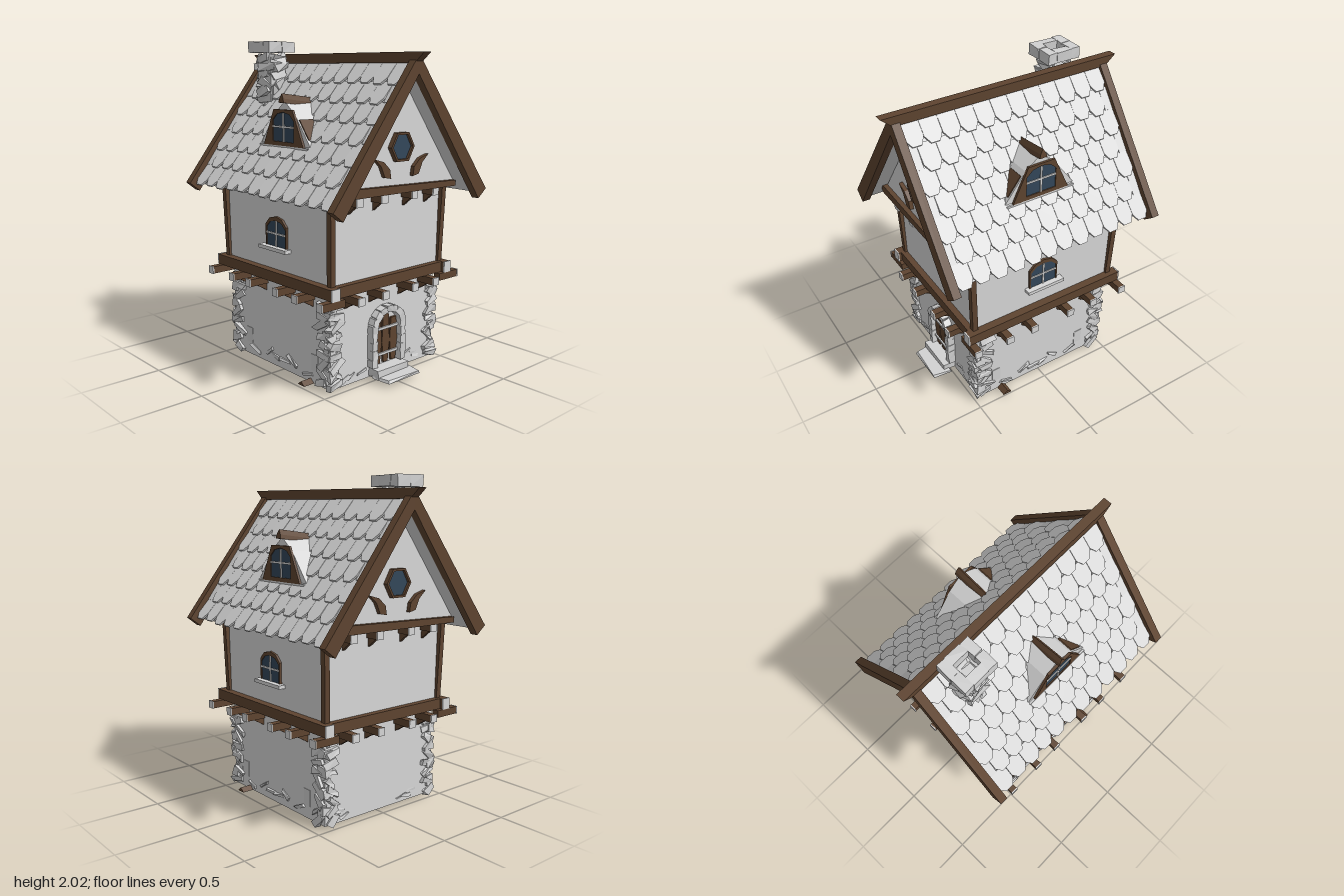
import * as THREE from 'three';

const mat = (name, color) => {
  const m = new THREE.MeshStandardMaterial({ color, side: THREE.DoubleSide });
  m.name = name;
  return m;
};
const plaster = mat('pale plaster', 0xd8d8d8);
const stone = mat('stone grey', 0xd2d2d2);
const wood = mat('dark wood', 0x5e4430);
const glass = mat('window glass', 0x33475a);

let seed = 7;
const rnd = (a = 0, b = 1) => {
  seed = (seed * 16807) % 2147483647;
  return a + (b - a) * (seed / 2147483647);
};

const add = (parent, name, geo, m, x = 0, y = 0, z = 0) => {
  const mesh = new THREE.Mesh(geo, m);
  mesh.name = name;
  mesh.position.set(x, y, z);
  parent.add(mesh);
  return mesh;
};
const box = (parent, name, m, w, h, d, x, y, z) =>
  add(parent, name, new THREE.BoxGeometry(w, h, d), m, x, y, z);
const toShape = pts => new THREE.Shape(pts.map(p => new THREE.Vector2(p[0], p[1])));
const plate = (parent, name, m, pts, depth, z, hole) => {
  const s = toShape(pts);
  if (hole) s.holes.push(toShape(hole));
  return add(parent, name, new THREE.ExtrudeGeometry(s, { depth, bevelEnabled: false }), m, 0, 0, z);
};
const group = (parent, name) => {
  const g = new THREE.Group();
  g.name = name;
  parent.add(g);
  return g;
};

// rough block: every box corner is pushed by its own random offset
function rock(parent, name, w, h, d, x, y, z, rz = 0, j = 0.3) {
  const geo = new THREE.BoxGeometry(w, h, d).toNonIndexed();
  const p = geo.attributes.position, off = {};
  for (let i = 0; i < p.count; i++) {
    const k = [p.getX(i) > 0, p.getY(i) > 0, p.getZ(i) > 0].join();
    off[k] ??= [rnd(-j, j) * w * 0.5, rnd(-j, j) * h, rnd(-j, j) * d];
    p.setXYZ(i, p.getX(i) + off[k][0], p.getY(i) + off[k][1], p.getZ(i) + off[k][2]);
  }
  geo.computeVertexNormals();
  const mesh = add(parent, name, geo, stone, x, y, z);
  mesh.rotation.z = rz;
  return mesh;
}

const arch = (x, y, w, h) => [[-w, 0], [w, 0], [w, h * 0.72], [w * 0.6, h * 0.93], [0, h],
  [-w * 0.6, h * 0.93], [-w, h * 0.72]].map(p => [p[0] + x, p[1] + y]);

// pane with glazing bars, facing local +z
function pane(parent, x, y, w, h, z) {
  plate(parent, 'windowGlass', glass, arch(x, y, w, h), 0.008, z);
  box(parent, 'glazingBar', plaster, 0.012, h * 0.97, 0.008, x, y + h * 0.48, z + 0.01);
  box(parent, 'glazingBar', plaster, w * 2, 0.012, 0.008, x, y + h * 0.5, z + 0.01);
}

// joist end with a pale end cap and a wedge brace under it, pointing along local +z
function joist(parent, x, y, z0, z1, brace) {
  box(parent, 'joist', wood, 0.045, 0.045, z1 - z0, x, y, (z0 + z1) / 2);
  box(parent, 'joistEnd', plaster, 0.05, 0.048, 0.008, x, y, z1);
  if (!brace) return;
  const b = plate(parent, 'joistBrace', wood, [[0, -0.02], [brace, -0.02], [0, -0.09]], 0.02, 0);
  b.rotation.y = -Math.PI / 2;
  b.position.set(x + 0.01, y, z0);
}

const RIDGE = 1.86, PITCH = Math.atan2(0.57, 0.76);

// one long side: local +z points out from the house
function buildSide(parent) {
  const side = group(parent, 'side');
  side.rotation.y = Math.PI / 2;

  // roof slope with overlapping shingles
  const slope = group(side, 'roofSlope');
  slope.position.y = RIDGE;
  slope.rotation.x = -PITCH;
  box(slope, 'roofBoard', plaster, 1.37, 0.94, 0.03, 0, -0.47, -0.02);
  const W = 0.112, L = 0.16;
  for (let r = 0; r < 7; r++) {
    const n = r % 2 ? 11 : 12;
    for (let i = 0; i < n; i++) {
      const l = L + rnd(-0.008, 0.006), w = W / 2 - 0.001;
      const t = plate(slope, 'shingle', plaster, [[-w, 0], [-w, 0.045 - l], [-w * 0.5, -l],
        [w * 0.5, -l], [w, 0.045 - l], [w, 0]], 0.012, -0.005);
      t.position.x = (i - (n - 1) / 2) * W;
      t.position.y = -r * 0.135;
      t.rotation.x = -0.08 - rnd(0, 0.03);
    }
    if (r % 2) for (const s of [-1, 1])
      box(slope, 'halfShingle', plaster, W / 2, L - 0.02, 0.012, s * 0.645, -r * 0.135 - 0.07, 0.004);
  }

  // dormer
  const d = group(side, 'dormer');
  plate(d, 'dormerBody', plaster, [[-0.1, 1.56], [-0.26, 1.35], [0.26, 1.35], [0.1, 1.56], [0, 1.64]], 0.275, 0.1);
  const panel = box(d, 'dormerCheek', wood, 0.14, 0.008, 0.1, -0.166, 1.478, 0.315);
  panel.rotation.z = Math.atan2(0.21, 0.16);
  plate(d, 'dormerTrim', wood, [[-0.19, 1.375], [0.19, 1.375], [0.09, 1.59], [-0.09, 1.59]], 0.015, 0.375,
    arch(0, 1.4, 0.1, 0.175));
  pane(d, 0, 1.4, 0.1, 0.175, 0.376);
  box(d, 'dormerSill', plaster, 0.46, 0.018, 0.02, 0, 1.367, 0.38);
  const cap = plate(d, 'dormerRidge', wood, [[-0.025, 0], [0.025, 0], [0.018, 0.025], [0, 0.055], [-0.018, 0.025]], 0.24, 0.165);
  cap.position.y = 1.6;
  cap.rotation.x = -0.13;

  // upper floor window
  const w = group(side, 'sideWindow');
  plate(w, 'windowFrame', wood, arch(-0.015, 0.765, 0.1, 0.195), 0.02, 0.445, arch(-0.015, 0.77, 0.09, 0.165));
  pane(w, -0.015, 0.77, 0.092, 0.168, 0.452);
  box(w, 'windowSill', plaster, 0.26, 0.022, 0.05, -0.01, 0.765, 0.47);

  // floor beam and joists
  const beam = box(side, 'sideFloorBeam', wood, 1.12, 0.065, 0.06, 0, 0.598, 0.47);
  for (const s of [-1, 1]) box(side, 'beamEnd', plaster, 0.008, 0.07, 0.062, s * 0.562, 0.598, 0.47);
  for (const x of [-0.54, -0.32, -0.14, 0.13, 0.31, 0.54])
    joist(side, x, 0.54, 0.4, 0.57, Math.abs(x) < 0.5 ? 0.12 : 0);

  // stones and a stray stake along the wall foot
  for (const [x, y, a] of [[-0.13, 0.08, 0.5], [-0.06, 0.06, 0], [0.03, 0.06, 0.1], [0.1, 0.08, -0.6], [0.24, 0.05, 0.4], [-0.27, 0.04, -0.3]])
    rock(side, 'wallStone', 0.09, 0.02, 0.03, x, y, 0.43, a);
  for (const x of [-0.42, -0.34, 0.31]) box(side, 'wallStone', stone, 0.06, 0.1, 0.012, x, 0.13, 0.432);
  plate(side, 'groundStake', wood, [[-0.33, 0], [-0.27, 0], [-0.3, 0.025]], 0.09, 0.42);
}

// one gable end: faces local +z
function buildEnd(parent) {
  const end = group(parent, 'gableEnd');
  // sloping verge boards
  for (const s of [-1, 1])
    plate(end, 'vergeBoard', wood, [[0, 1.91], [0, 1.8], [s * 0.56, 1.045], [s * 0.63, 1.1]], 0.05, 0.67);
  // round window
  const hex = r => Array.from({ length: 6 }, (_, i) =>
    [r * Math.cos(i * Math.PI / 3), 1.39 + r * Math.sin(i * Math.PI / 3)]);
  plate(end, 'gableWindowFrame', wood, hex(0.095), 0.03, 0.58, hex(0.08));
  plate(end, 'gableWindowGlass', glass, hex(0.082), 0.008, 0.585);
  // curved brackets
  for (const s of [-1, 1])
    plate(end, 'gableBracket', wood, [[0.22, 1.335], [0.15, 1.315], [0.1, 1.27], [0.09, 1.215],
      [0.14, 1.225], [0.17, 1.29]].map(p => [p[0] * s, p[1]]), 0.03, 0.575);
  // beams
  plate(end, 'gableBeam', wood, [[-0.48, 1.13], [0.47, 1.12], [0.47, 1.155], [-0.48, 1.185]], 0.09, 0.52);
  box(end, 'endFloorBeam', wood, 0.94, 0.065, 0.06, 0, 0.598, 0.51);
  for (const x of [-0.32, -0.125, 0.125, 0.31]) {
    joist(end, x, 1.1, 0.48, 0.59, 0.09);
    joist(end, x, 0.54, 0.44, 0.61, 0.12);
  }
  // wall foot stones
  for (let i = 0; i < 6; i++) {
    const x = (i < 3 ? -1 : 1) * rnd(0.17, 0.36);
    rock(end, 'wallStone', 0.07, 0.018, 0.02, x, rnd(0.03, 0.09), 0.47, rnd(-0.5, 0.5));
  }
}

function buildDoor(parent) {
  const door = group(parent, 'door');
  const opening = [[-0.1, 0.06], [0.1, 0.06]];
  for (let i = 0; i <= 8; i++)
    opening.push([0.1 * Math.cos(i * Math.PI / 8), 0.3 + 0.1 * Math.sin(i * Math.PI / 8)]);
  plate(door, 'doorNiche', plaster, opening, 0.1, 0.375);
  for (const [x, h] of [[-0.066, 0.28], [0, 0.33], [0.066, 0.28]])
    plate(door, 'doorPlank', wood, [[x - 0.018, 0.07], [x + 0.018, 0.07], [x + 0.032, 0.2],
      [x + 0.022, 0.06 + h], [x - 0.022, 0.06 + h], [x - 0.032, 0.2]], 0.015, 0.475);
  for (const y of [0.13, 0.29]) box(door, 'doorStrap', stone, 0.19, 0.016, 0.01, 0, y, 0.495);
  for (let i = 0; i <= 8; i++) {
    const a = i * Math.PI / 8;
    rock(door, 'archStone', 0.042, 0.046, 0.055, 0.118 * Math.cos(a), 0.3 + 0.112 * Math.sin(a), 0.495, a, 0.1);
  }
  for (const s of [-1, 1]) for (let i = 0; i < 4; i++)
    rock(door, 'jambStone', 0.042, 0.054, 0.055, s * 0.118, 0.09 + i * 0.054, 0.495, 0, 0.1);
  rock(door, 'doorStep', 0.26, 0.05, 0.1, 0, 0.035, 0.51, 0, 0.05);
  rock(door, 'doorSlab', 0.27, 0.016, 0.12, 0.01, 0.012, 0.575, 0, 0.1);
}

export function createModel() {
  const house = new THREE.Group();
  house.name = 'house';

  // hollow stone ground floor, open underneath
  const rect = (x, z) => [[-x, -z], [x, -z], [x, z], [-x, z]];
  const base = plate(house, 'groundFloorWalls', plaster, rect(0.435, 0.475), 0.57, 0, rect(0.4, 0.44));
  base.rotation.x = -Math.PI / 2;
  box(house, 'groundFloorCeiling', plaster, 0.8, 0.02, 0.88, 0, 0.54, 0);
  for (const s of [-1, 1]) for (const t of [-1, 1]) {
    box(house, 'innerPost', wood, 0.035, 0.54, 0.02, s * 0.24, 0.27, t * 0.432);
    box(house, 'innerPost', wood, 0.02, 0.54, 0.035, s * 0.392, 0.27, t * 0.22);
  }

  // upper floor and attic
  box(house, 'upperFloor', plaster, 0.9, 0.6, 1.0, 0, 0.86, 0);
  plate(house, 'attic', plaster, [[-0.49, 1.14], [0.49, 1.14], [0, 1.8]], 1.16, -0.58);

  for (const s of [1, -1]) {
    const half = group(house, s > 0 ? 'leftHalf' : 'rightHalf');
    half.scale.x = s;
    buildSide(half);
    const end = group(house, s > 0 ? 'front' : 'back');
    end.rotation.y = s > 0 ? 0 : Math.PI;
    buildEnd(end);
  }
  buildDoor(house);

  // leaning corner posts and corner stones
  for (const sx of [-1, 1]) for (const sz of [-1, 1]) {
    const post = new THREE.BoxGeometry(0.035, 0.54, 0.035);
    const p = post.attributes.position;
    for (let i = 0; i < p.count; i++) if (p.getY(i) > 0)
      p.setXYZ(i, p.getX(i) + sx * 0.015, p.getY(i), p.getZ(i) + sz * 0.015);
    post.computeVertexNormals();
    add(house, 'cornerPost', post, wood, sx * 0.448, 0.87, sz * 0.498);
    const q = group(house, 'cornerStones');
    for (let i = 0; i < 9; i++) {
      const y = 0.03 + i * 0.058, a = rnd(-0.9, 0.9);
      rock(q, 'cornerStone', rnd(0.07, 0.11), 0.035, 0.035, sx * rnd(0.385, 0.41), y, sz * 0.477, a);
      const side = group(q, 'cornerStoneTurned');
      side.rotation.y = Math.PI / 2;
      rock(side, 'cornerStone', rnd(0.08, 0.12), 0.035, 0.035, -sz * rnd(0.4, 0.44), y, sx * 0.435, -a);
      if (i % 2) rock(q, 'cornerBlock', 0.06, 0.06, 0.06, sx * 0.42, y, sz * 0.46, 0, 0.2);
    }
  }

  // ridge beam with slanted ends
  const ridge = plate(house, 'ridgeBeam', wood, [[-0.71, 1.86], [0.71, 1.86], [0.78, 1.92], [-0.78, 1.92]], 0.054, 0);
  ridge.rotation.y = Math.PI / 2;
  ridge.position.x = -0.027;

  // chimney of rough blocks with an open top
  const chimney = group(house, 'chimney');
  chimney.position.set(-0.135, 0, -0.44);
  box(chimney, 'chimneyCore', stone, 0.12, 0.36, 0.14, 0, 1.72, 0);
  for (let i = 0; i < 7; i++) for (let k = 0; k < 4; k++) {
    const a = k * Math.PI / 2 + 0.3 * (i % 2);
    const b = rock(chimney, 'chimneyStone', rnd(0.09, 0.13), 0.045, 0.05,
      0.05 * Math.sin(a), 1.58 + i * 0.052, 0.065 * Math.cos(a), rnd(-0.5, 0.5));
    b.rotation.y = a;
  }
  for (const s of [-1, 1]) {
    for (const x of [-0.052, 0.052])
      rock(chimney, 'chimneyCap', 0.1, 0.068, 0.06, x, 1.963, s * 0.082, 0, 0.05);
    rock(chimney, 'chimneyCap', 0.06, 0.068, 0.11, s * 0.074, 1.963, 0, 0, 0.05);
  }
  return house;
}
